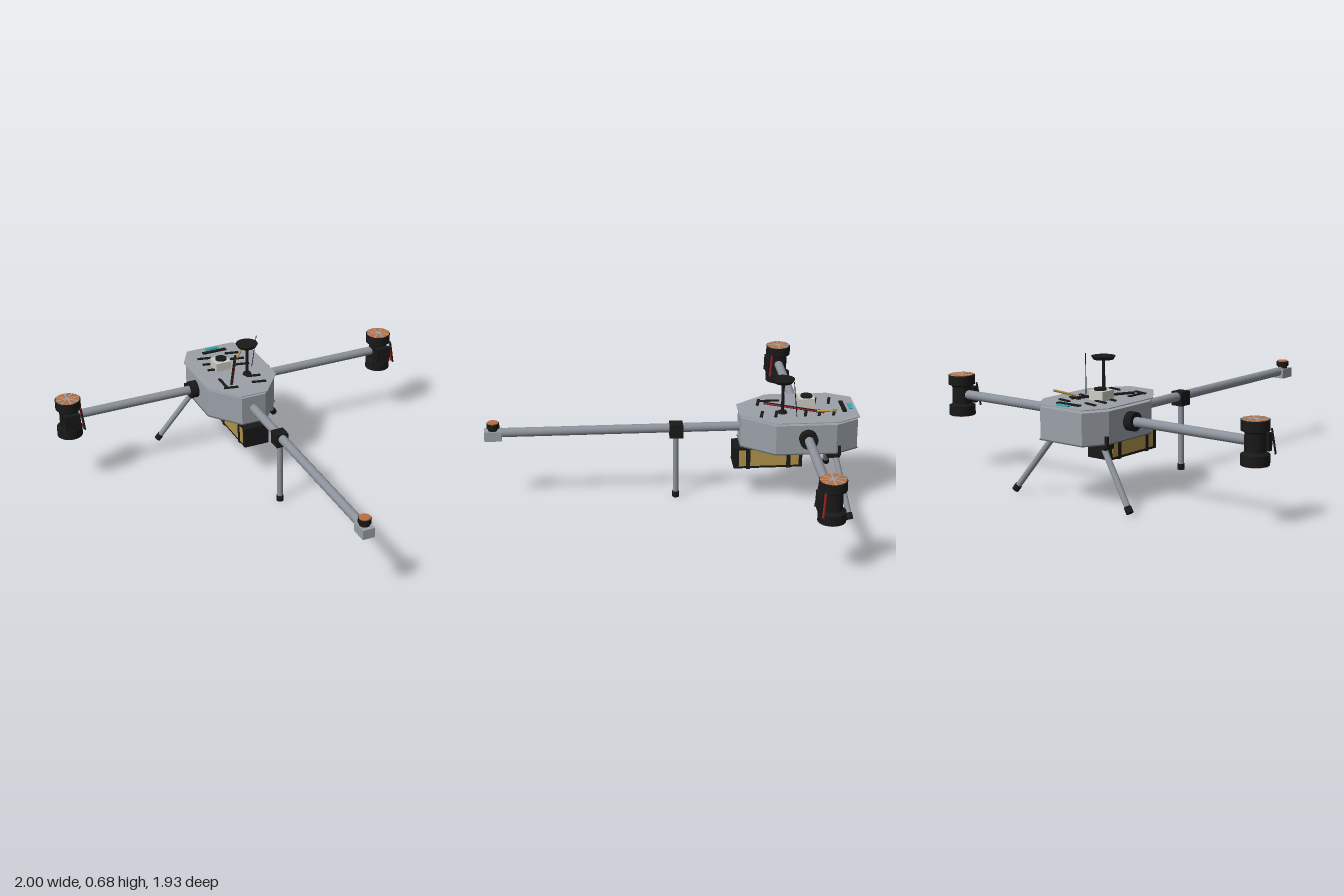
import * as THREE from 'three';

const mat = (name, color) => {
  const m = new THREE.MeshStandardMaterial({ color });
  m.name = name;
  return m;
};

export function createModel() {
  const shell = mat('shell grey', 0x9ba1a8);
  const tube = mat('tube grey', 0x8c929b);
  const under = mat('underside grey', 0x64676c);
  const black = mat('black', 0x19191a);
  const copper = mat('copper', 0xb87040);
  const gold = mat('gold', 0xb2954a);
  const white = mat('off white', 0xcdcdc4);
  const red = mat('red', 0xa02020);
  const teal = mat('teal', 0x2dacb2);

  const model = new THREE.Group();
  model.name = 'drone';

  const add = (name, geo, m, x = 0, y = 0, z = 0, parent = model) => {
    const mesh = new THREE.Mesh(geo, m);
    mesh.name = name;
    mesh.position.set(x, y, z);
    parent.add(mesh);
    return mesh;
  };
  const box = (name, m, w, h, d, x, y, z, parent) =>
    add(name, new THREE.BoxGeometry(w, h, d), m, x, y, z, parent);
  const cyl = (name, m, rTop, rBottom, y0, y1, x, z, parent) =>
    add(name, new THREE.CylinderGeometry(rTop, rBottom, y1 - y0, 32), m, x, (y0 + y1) / 2, z, parent);
  // Straight round rod between two points
  const rod = (name, m, a, b, r, parent, sides = 20) => {
    const p = new THREE.Vector3(...a), q = new THREE.Vector3(...b);
    const dir = q.clone().sub(p);
    const mid = p.clone().add(q).multiplyScalar(0.5);
    const mesh = add(name, new THREE.CylinderGeometry(r, r, dir.length(), sides), m, mid.x, mid.y, mid.z, parent);
    mesh.quaternion.setFromUnitVectors(new THREE.Vector3(0, 1, 0), dir.normalize());
    return mesh;
  };

  // Eight-sided hull, base plate and a slightly raised, overhanging deck
  const outline = [[0.077, -0.35], [0.206, -0.518], [0.206, -0.847], [0.139, -0.966]];
  const hull = (name, m, y0, y1, inset) => {
    const pts = outline.map(([x, z]) => [x - inset, z + (z < -0.65 ? inset : -inset)]);
    const all = [...pts, ...pts.slice().reverse().map(([x, z]) => [-x, z])];
    const shape = new THREE.Shape(all.map(([x, z]) => new THREE.Vector2(x, -z)));
    const geo = new THREE.ExtrudeGeometry(shape, { depth: y1 - y0, bevelEnabled: false });
    geo.rotateX(-Math.PI / 2);
    add(name, geo, m, 0, y0, 0);
  };
  hull('body', shell, 0.312, 0.466, 0.008);
  hull('deck', shell, 0.48, 0.484, 0);
  hull('bottomPlate', under, 0.306, 0.312, 0.005);

  // Deck slots, bars and status strip
  for (const x of [-0.085, 0.08]) {
    for (const z of [-0.84, -0.765, -0.693, -0.54, -0.465]) {
      if (x < 0 && z === -0.54) continue;
      box('deckSlot', black, 0.078, 0.007, 0.015, x, 0.487, z).rotation.y = -0.22;
    }
  }
  box('deckBar', black, 0.014, 0.007, 0.11, -0.105, 0.487, -0.525);
  box('rearBar', black, 0.14, 0.007, 0.022, 0, 0.487, -0.9);
  box('statusStrip', teal, 0.074, 0.007, 0.02, 0, 0.487, -0.938);

  // Twisted-pair cable lying across the deck
  rod('deckCable', black, [-0.07, 0.489, -0.495], [0.08, 0.489, -0.79], 0.007);
  rod('deckCableRed', red, [-0.066, 0.489, -0.493], [0.084, 0.489, -0.788], 0.004);

  // Sensor box with round lens
  box('sensorBox', white, 0.086, 0.05, 0.086, -0.042, 0.507, -0.71);
  cyl('sensorLens', black, 0.031, 0.031, 0.532, 0.542, -0.038, -0.713);

  // Satellite mast and dish
  cyl('mastBase', black, 0.02, 0.025, 0.484, 0.495, 0.058, -0.575);
  cyl('mast', black, 0.008, 0.008, 0.485, 0.66, 0.058, -0.575);
  cyl('mastDish', black, 0.06, 0.05, 0.654, 0.671, 0.058, -0.575);

  // Antennas
  rod('shortAntenna', gold, [0.08, 0.497, -0.755], [0.152, 0.527, -0.838], 0.006);
  rod('whipAntenna', black, [0.115, 0.484, -0.642], [0.135, 0.682, -0.62], 0.002, model, 8);

  // Battery slung under the hull
  box('battery', black, 0.14, 0.112, 0.36, 0, 0.237, -0.505);
  for (const s of [-1, 1]) box('batteryPanel', gold, 0.003, 0.09, 0.315, s * 0.07, 0.238, -0.509);
  for (const z of [-0.4, -0.612]) box('batteryStrap', black, 0.148, 0.13, 0.022, 0, 0.243, z);
  rod('batteryLead', red, [-0.02, 0.25, -0.683], [-0.02, 0.31, -0.688], 0.006);
  rod('batteryLeadBlack', black, [0.02, 0.25, -0.683], [0.02, 0.31, -0.688], 0.006);

  // Side arms and stacked motors
  for (const s of [-1, 1]) {
    rod('sideArm', tube, [s * 0.19, 0.397, -0.69], [s * 0.93, 0.397, -0.69], 0.024);
    rod('armCollar', black, [s * 0.195, 0.397, -0.69], [s * 0.24, 0.397, -0.69], 0.047);

    const motor = new THREE.Group();
    motor.name = 'motorPod';
    motor.position.set(s * 0.931, 0.394, -0.69);
    model.add(motor);
    cyl('motorCore', black, 0.05, 0.05, -0.06, 0.06, 0, 0, motor);
    for (const v of [-1, 1]) {
      const bell = cyl('motorBell', black, 0.068, 0.068, -0.025, 0.025, 0, 0, motor);
      bell.position.y = v * 0.08;
      const neck = cyl('motorNeck', black, 0.064, 0.05, -0.006, 0.006, 0, 0, motor);
      neck.position.y = v * 0.05;
      if (v < 0) neck.rotation.x = Math.PI;
      const cap = cyl('motorCap', copper, 0.064, 0.064, -0.002, 0.002, 0, 0, motor);
      cap.position.y = v * 0.1055;
      for (let i = 0; i < 4; i++) {
        box('motorSpoke', shell, 0.13, 0.003, 0.0075, 0, v * 0.107, 0, motor).rotation.y = i * Math.PI / 4;
      }
    }
    // Speed controller, black leads on both sides and a red lead on the left side of each pod
    box('speedController', black, 0.085, 0.085, 0.03, 0, -0.005, 0.058, motor);
    for (const w of [-1, 1]) {
      rod('blackLead', black, [w * 0.052, 0.06, 0.055], [w * 0.064, -0.06, 0.07], 0.005, motor, 8);
    }
    rod('redLead', red, [0.054, 0.06, 0.042], [0.064, -0.06, 0.052], 0.006, motor, 8);
  }

  // Long front boom with nose block and small nose motor
  rod('frontBoom', tube, [0, 0.393, -0.37], [0, 0.393, 0.9], 0.024);
  box('noseBlock', shell, 0.064, 0.052, 0.09, 0, 0.382, 0.92);
  cyl('noseMotorNeck', black, 0.026, 0.026, 0.408, 0.422, 0, 0.919);
  cyl('noseMotor', black, 0.033, 0.033, 0.422, 0.447, 0, 0.919);
  cyl('noseMotorCap', copper, 0.029, 0.029, 0.447, 0.452, 0, 0.919);

  // Front leg on its boom clamp
  box('boomClamp', black, 0.066, 0.074, 0.07, 0, 0.382, -0.028);
  cyl('frontLeg', tube, 0.015, 0.015, 0.03, 0.355, 0, -0.026);
  cyl('frontFoot', black, 0.018, 0.018, 0, 0.032, 0, -0.026);

  // Splayed rear legs
  for (const s of [-1, 1]) {
    const top = new THREE.Vector3(s * 0.155, 0.3, -0.838);
    const end = new THREE.Vector3(s * 0.366, 0.012, -0.893);
    const ankle = top.clone().lerp(end, 0.91);
    rod('rearLeg', tube, top.toArray(), ankle.toArray(), 0.015);
    rod('rearFoot', black, ankle.toArray(), end.toArray(), 0.018);
    box('legBracket', black, 0.07, 0.026, 0.066, s * 0.155, 0.292, -0.828);
    box('legLatch', black, 0.014, 0.055, 0.014, s * 0.196, 0.32, -0.855);
  }

  return model;
}
